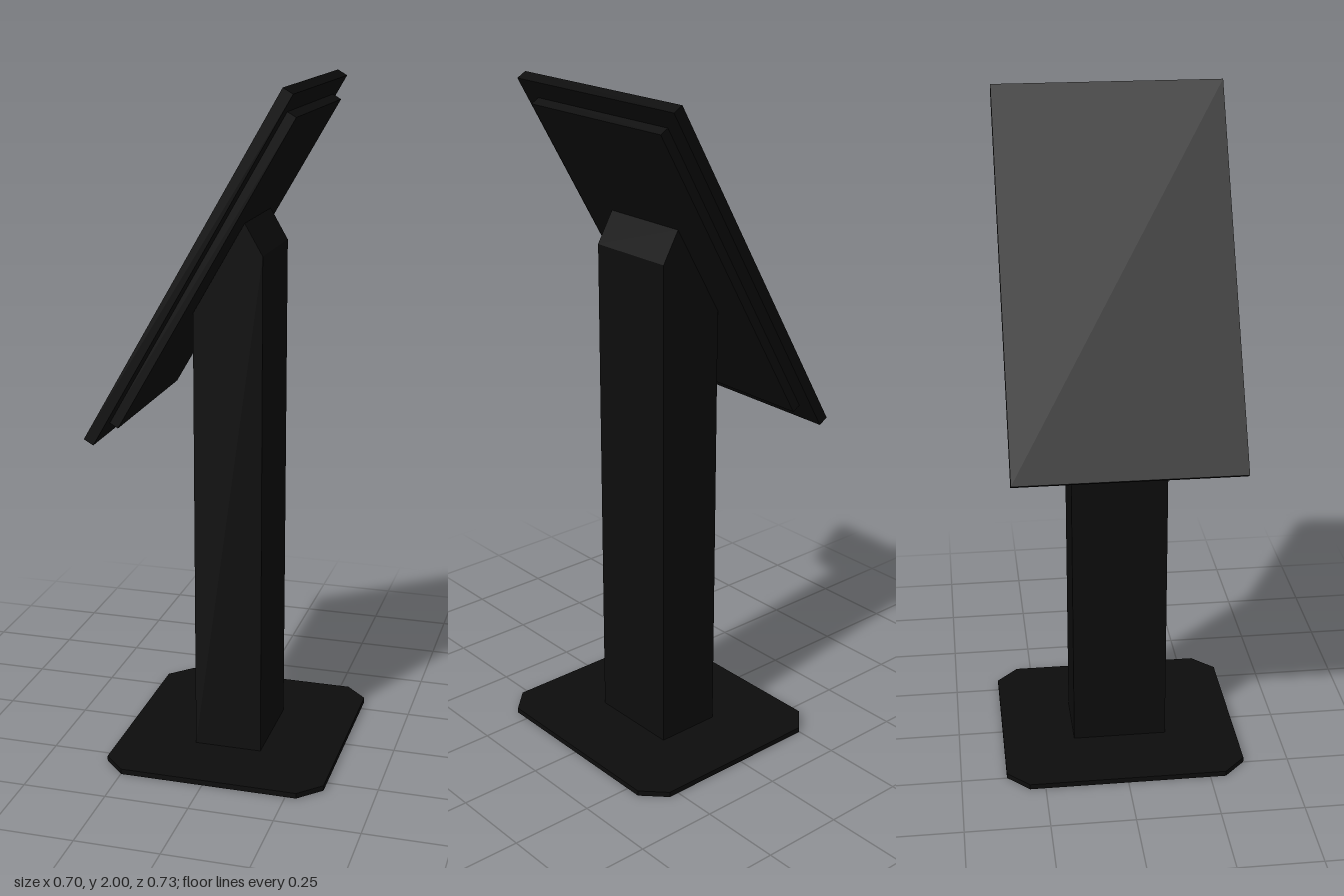
import * as THREE from 'three';

const bodyBlack = new THREE.MeshStandardMaterial({ color: 0x0d0d0d });
bodyBlack.name = 'body black';
const screenBlack = new THREE.MeshStandardMaterial({ color: 0x0b0b0b });
screenBlack.name = 'screen black';

// Prism from a flat outline, starting at depth 0
function prism(name, points, depth, material) {
  const shape = new THREE.Shape(points.map(([x, y]) => new THREE.Vector2(x, y)));
  const geometry = new THREE.ExtrudeGeometry(shape, { depth, bevelEnabled: false });
  const mesh = new THREE.Mesh(geometry, material);
  mesh.name = name;
  return mesh;
}

// Box spanning the given local x and y ranges, centred on z
function slab(name, x0, x1, y0, y1, width, material) {
  const mesh = new THREE.Mesh(new THREE.BoxGeometry(x1 - x0, y1 - y0, width), material);
  mesh.position.set((x0 + x1) / 2, (y0 + y1) / 2, 0);
  mesh.name = name;
  return mesh;
}

export function createModel() {
  const kiosk = new THREE.Group();
  kiosk.name = 'kiosk';

  // Floor plate with cut corners
  const l = -0.315, r = 0.348, d = 0.363, c = 0.066;
  const base = prism('basePlate', [
    [l + c, -d], [r - c, -d], [r, -d + c], [r, d - c],
    [r - c, d], [l + c, d], [l, d - c], [l, -d + c],
  ], 0.016, bodyBlack);
  base.rotation.x = -Math.PI / 2;
  kiosk.add(base);

  // Post, cut to the slope of the display, with a chamfered rear top edge
  const post = prism('post', [
    [-0.085, 0.016], [0.118, 0.016], [0.118, 1.525], [0.066, 1.615], [-0.085, 1.353],
  ], 0.286, bodyBlack);
  post.position.z = -0.143;
  kiosk.add(post);

  // Tilted display: local x runs through its thickness, y up its face
  const display = new THREE.Group();
  display.name = 'display';
  display.position.set(-0.35, 1.016, 0);
  display.rotation.z = -Math.PI / 6;
  display.add(
    slab('screenPanel', 0, 0.032, 0, 1.136, 0.663, screenBlack),
    slab('rearHousing', 0.032, 0.06, 0.06, 1.078, 0.55, bodyBlack),
  );
  kiosk.add(display);

  return kiosk;
}
